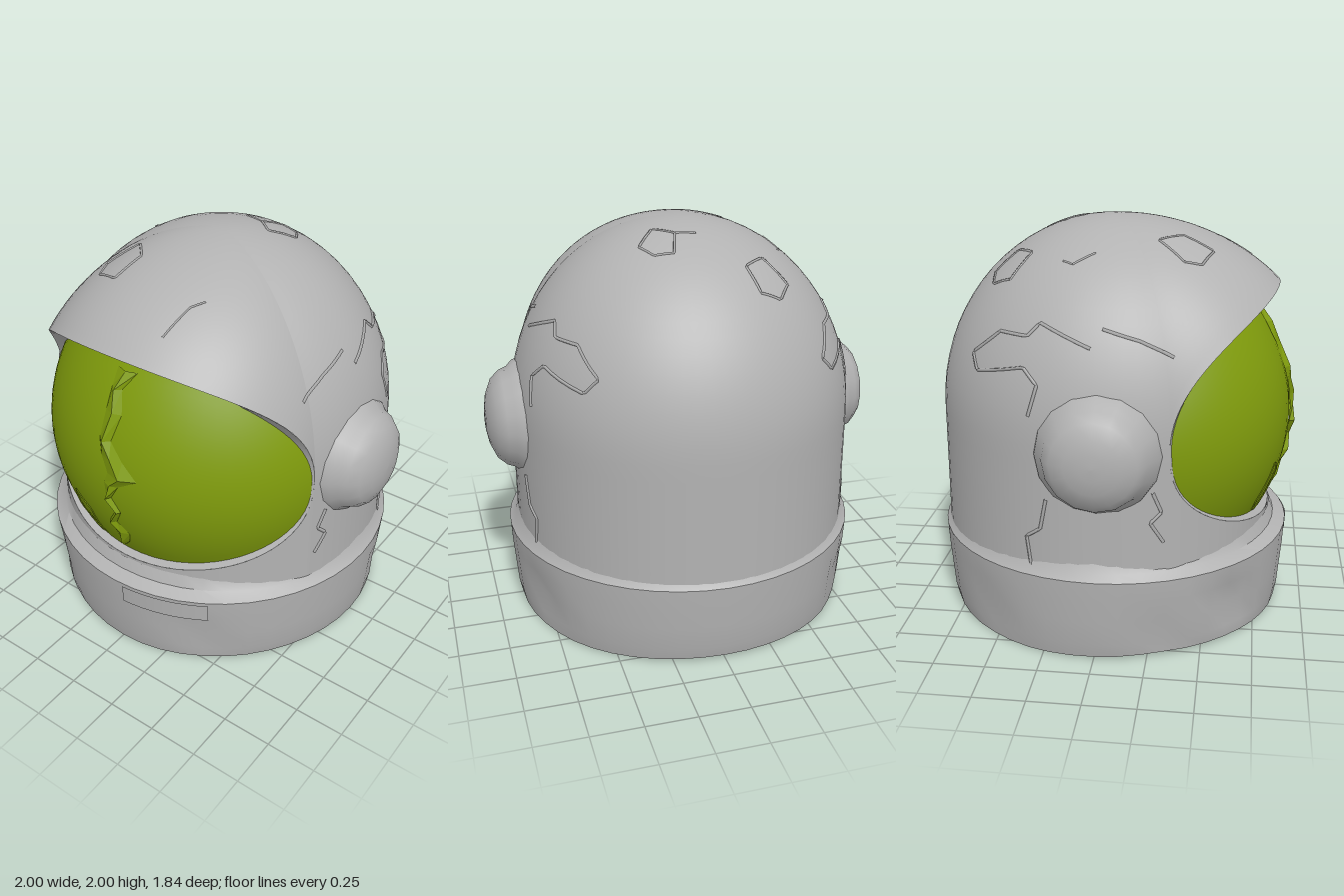
import * as THREE from 'three';
import { mergeGeometries, mergeVertices, toCreasedNormals } from 'three/addons/utils/BufferGeometryUtils.js';

const { sin, cos, sqrt, max, abs, PI } = Math;
const OPEN = 1.16; // half angle of the face opening
const MID = 1.05; // height where the dome begins

const mat = (name, color) => {
  const m = new THREE.MeshStandardMaterial({ color, side: THREE.DoubleSide });
  m.name = name;
  return m;
};

// surface through fn(u, v), u and v from 0 to 1
function grid(fn, nu, nv) {
  const pos = [], idx = [];
  for (let j = 0; j <= nv; j++)
    for (let i = 0; i <= nu; i++) pos.push(...fn(i / nu, j / nv).toArray());
  for (let j = 0; j < nv; j++)
    for (let i = 0; i < nu; i++) {
      const a = j * (nu + 1) + i, b = a + 1, c = a + nu + 1, d = c + 1;
      idx.push(a, b, d, a, d, c);
    }
  const g = new THREE.BufferGeometry();
  g.setAttribute('position', new THREE.Float32BufferAttribute(pos, 3));
  g.setIndex(idx);
  return g;
}
function smooth(g) {
  const m = mergeVertices(g, 1e-4);
  m.computeVertexNormals();
  return m;
}
const polar = (phi, r, y) => new THREE.Vector3(r * sin(phi), y, r * cos(phi));

// opening height above (+1) and below (-1) the middle at an angle
const arch = (phi, side) => Math.pow(max(0, 1 - (phi / OPEN) ** 2), side > 0 ? 0.5 : 0.38);

// helmet shell: round dome with a jutting brow, straight sides below
function shellPoint(phi, y, upper) {
  const front = abs(phi) < OPEN ? cos((phi / OPEN) * PI / 2) : 0;
  let r = 0.86 + 0.025 * max(0, -cos(phi)) + front * (upper ? 0.24 : -0.05);
  if (upper) r *= sqrt(max(0, 1 - ((y - MID) / 0.95) ** 2));
  return polar(phi, r, y);
}
const columnAngle = u => u < 0.5
  ? OPEN * sin((u - 0.25) * 2 * PI)
  : OPEN + (u - 0.5) * 4 * (PI - OPEN);

function shellGeometry() {
  const wrap = p => (p > PI ? p - 2 * PI : p);
  const upper = grid((u, v) => {
    const phi = wrap(columnAngle(u));
    const a0 = Math.asin(0.663 * arch(phi, 1));
    return shellPoint(phi, MID + 0.95 * sin(a0 + (PI / 2 - a0) * v), true);
  }, 96, 18);
  const lower = grid((u, v) => {
    const phi = wrap(columnAngle(u));
    return shellPoint(phi, 0.41 + (MID - 0.53 * arch(phi, -1) - 0.41) * v, false);
  }, 96, 8);
  return smooth(mergeGeometries([upper, lower]));
}

// bulging visor surface
const visorPoint = (phi, y) => polar(phi, 0.9 - 0.6 * (y - 1) ** 2 - 0.045 * (phi / OPEN) ** 2, y);
const visorGeometry = () => smooth(grid((u, v) => {
  const phi = OPEN * sin((u - 0.5) * PI);
  const lo = MID - 0.52 * arch(phi, -1), hi = MID + 0.55 * arch(phi, 1);
  return visorPoint(phi * 0.99, lo + (hi - lo) * v);
}, 40, 20));

// lip joining the shell edge to the visor edge
const rimGeometry = () => smooth(grid((u, v) => {
  const t = u * 2 * PI, phi = OPEN * cos(t), s = sin(t) >= 0 ? 1 : -1;
  const k = arch(phi, s) * s;
  const outer = shellPoint(phi, MID + k * (s > 0 ? 0.63 : 0.53), s > 0);
  return outer.lerp(visorPoint(phi * 0.99, MID + k * (s > 0 ? 0.55 : 0.52)), v);
}, 80, 2));

// neck ring with an inner lip, slightly dented and uneven at the foot
function collarGeometry() {
  const profile = [[0.72, 0.42], [0.67, 0.36], [0.68, 0.29], [0.78, 0.25], [0.81, 0.06], [0.825, 0.02], [0.865, 0.02],
    [0.88, 0.08], [0.89, 0.2], [0.9, 0.32], [0.905, 0.42], [0.88, 0.45], [0.855, 0.51]];
  const g = new THREE.LatheGeometry(profile.map(p => new THREE.Vector2(...p)), 48);
  const p = g.attributes.position;
  const dents = [[-0.75, 0.2, 0.05], [0.5, 0.17, 0.025], [-2.2, 0.15, 0.02], [2.0, 0.18, 0.03], [-1.2, 0.12, 0.025]];
  for (let i = 0; i < p.count; i++) {
    let x = p.getX(i), y = p.getY(i), z = p.getZ(i);
    const phi = Math.atan2(x, z), r = Math.hypot(x, z);
    let push = 0;
    if (r > 0.86 && y < 0.38)
      for (const [a, h, d] of dents) push += d * Math.exp(-(((phi - a) / 0.14) ** 2) - ((y - h) / 0.1) ** 2);
    if (y > 0.43 && r > 0.84) push += 0.04 * max(0, cos(phi));
    if (y < 0.04) y -= 0.01 + 0.01 * cos(3 * phi);
    p.setXYZ(i, x * (1 - push / r), y, z * (1 - push / r));
  }
  g.deleteAttribute('uv');
  g.deleteAttribute('normal');
  return toCreasedNormals(mergeVertices(g, 1e-4), 0.7);
}

// score line laid on a surface by casting flat points along one axis
function scoreGeometry(target, axis, points, radius, closed) {
  const ray = new THREE.Raycaster(), hits = [];
  const list = closed ? [...points, points[0]] : points;
  const cast = (a, b) => {
    const o = { top: [a, 3, b], front: [a, b, 3], right: [-3, b, a], left: [3, b, a] }[axis];
    const d = { top: [0, -1, 0], front: [0, 0, -1], right: [1, 0, 0], left: [-1, 0, 0] }[axis];
    ray.set(new THREE.Vector3(...o), new THREE.Vector3(...d));
    const hit = ray.intersectObject(target)[0];
    if (hit) hits.push(hit.point);
  };
  for (let i = 0; i < list.length - 1; i++)
    for (let k = 0; k < 4; k++) {
      const t = k / 4, [a, b] = list[i], [c, d] = list[i + 1];
      cast(a + (c - a) * t, b + (d - b) * t);
    }
  cast(...list[list.length - 1]);
  const path = new THREE.CatmullRomCurve3(hits, false, 'catmullrom', 0);
  return new THREE.TubeGeometry(path, hits.length * 2, radius, 4);
}

export function createModel() {
  const grey = mat('shell grey', 0xb2b2b2);
  const green = mat('visor green', 0x7f9b0c);
  const group = new THREE.Group();
  group.name = 'helmet';
  const add = (name, geometry, material) => {
    const m = new THREE.Mesh(geometry, material);
    m.name = name;
    group.add(m);
    return m;
  };

  const shell = add('shell', shellGeometry(), grey);
  const visor = add('visor', visorGeometry(), green);
  add('visorRim', rimGeometry(), grey);
  add('collar', collarGeometry(), grey);
  add('collarFlap', new THREE.CylinderGeometry(0.912, 0.908, 0.1, 8, 1, true, 0.06, 0.5).translate(0, 0.36, 0), grey);

  // tapered ear caps on low mounts
  const cap = [[0.31, 0.76], [0.285, 0.84], [0.255, 0.87], [0.24, 0.91], [0.2, 0.955], [0.13, 0.985], [0.06, 0.998], [0, 1]];
  for (const [name, s] of [['leftEarCap', 1], ['rightEarCap', -1]]) {
    const g = new THREE.LatheGeometry(cap.map(p => new THREE.Vector2(...p)), 16);
    add(name, g.rotateZ(-s * PI / 2).translate(0, 1.02, 0.015), grey);
  }

  // jagged, crumpled crack down the visor: [height, centre, half width]
  const crack = [[1.56, 0, 0.07], [1.48, -0.03, 0.035], [1.38, -0.01, 0.05], [1.25, -0.03, 0.035], [1.17, 0.02, 0.06],
    [1.09, 0.08, 0.08], [1.03, 0.02, 0.04], [0.95, 0, 0.015], [0.87, 0.045, 0.015], [0.79, 0, 0.02],
    [0.72, 0.03, 0.05], [0.64, 0.02, 0.03], [0.59, 0, 0.01]];
  const crackGeometry = grid((u, v) => {
    const i = Math.round((1 - v) * (crack.length - 1)), [y, c, w] = crack[i];
    const p = visorPoint((c + (u * 2 - 1) * w) / 0.88, y);
    p.z += u === 0.5 ? 0.02 + 0.012 * (i % 2) : 0.003;
    return p;
  }, 2, crack.length - 1).toNonIndexed();
  crackGeometry.computeVertexNormals();
  add('visorCrack', crackGeometry, green);

  // chips and creases
  group.updateMatrixWorld(true);
  add('visorChip', scoreGeometry(visor, 'front', [[-0.28, 0.82], [-0.18, 0.75], [-0.17, 0.56], [-0.33, 0.56]], 0.006, true), green);
  const chips = [
    [[-0.41, -0.45], [-0.34, -0.55], [-0.24, -0.56], [-0.2, -0.45], [-0.31, -0.36]],
    [[0.12, -0.37], [0.21, -0.35], [0.26, -0.26], [0.17, -0.15], [0.08, -0.23]],
    [[-0.4, 0.37], [-0.3, 0.24], [-0.2, 0.35], [-0.24, 0.5], [-0.38, 0.45]],
  ];
  for (const c of chips) add('domeChip', scoreGeometry(shell, 'top', c, 0.007, true), grey);
  const scratches = [
    [[-0.45, -0.19], [-0.48, -0.14], [-0.43, -0.04]],
    [[0.25, 0.46], [0.21, 0.52], [0.18, 0.68]],
    [[0.08, -0.23], [-0.02, -0.25]],
  ];
  for (const c of scratches) add('domeScratch', scoreGeometry(shell, 'top', c, 0.006, false), grey);
  const creases = [
    [[0.35, 1.46], [0.2, 1.53], [0.03, 1.58]],
    [[-0.02, 1.5], [-0.26, 1.59], [-0.32, 1.53], [-0.46, 1.53], [-0.61, 1.41], [-0.58, 1.34], [-0.33, 1.4], [-0.26, 1.33], [-0.3, 1.19]],
    [[0.27, 0.85], [0.31, 0.75], [0.26, 0.7], [0.32, 0.6]],
    [[-0.22, 0.8], [-0.25, 0.65], [-0.32, 0.6], [-0.3, 0.45]],
  ];
  for (const side of ['left', 'right'])
    for (const c of creases) add(side + 'Crease', scoreGeometry(shell, side, c, 0.009, false), grey);

  return group;
}
